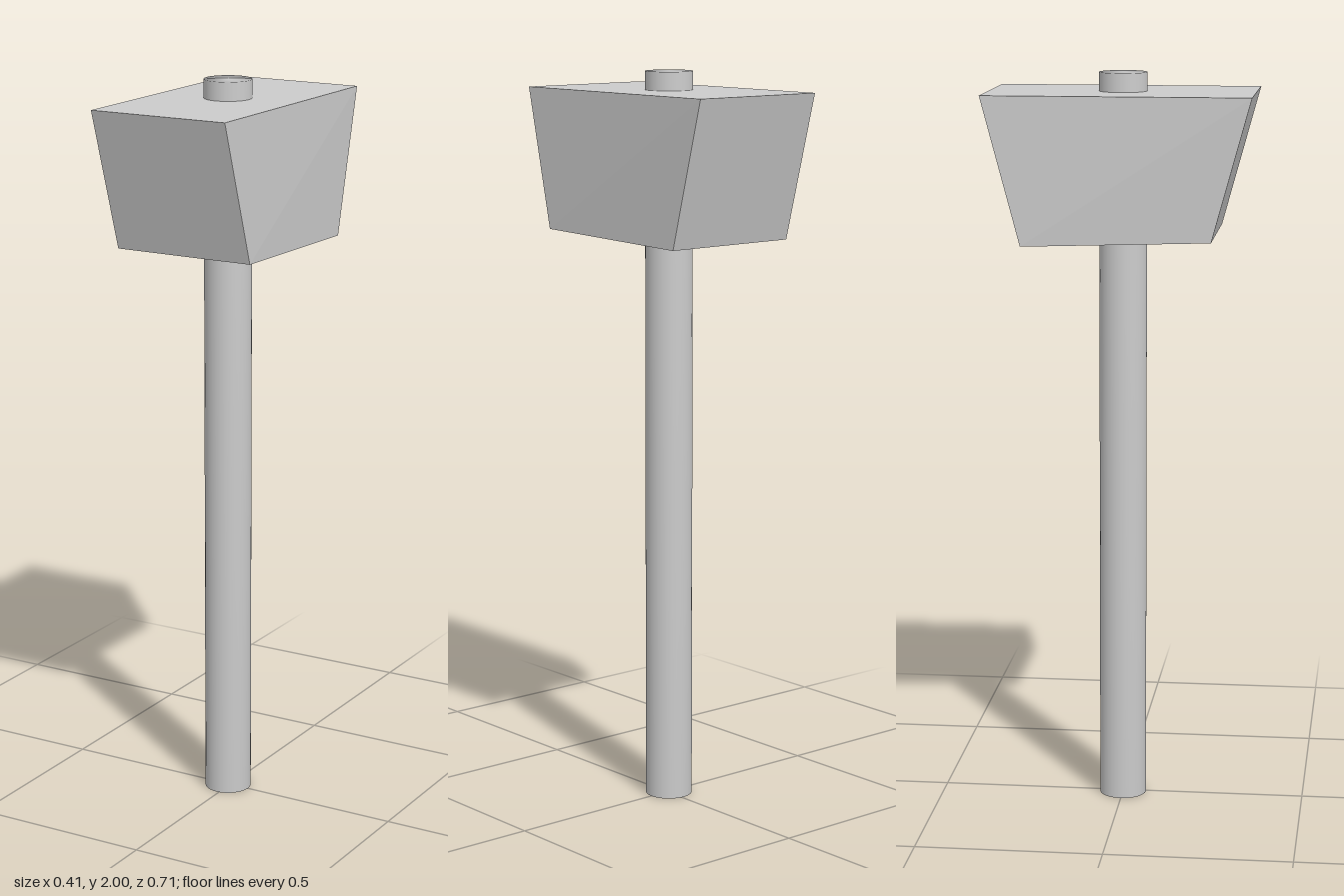
import * as THREE from 'three';
import { mergeVertices } from 'three/addons/utils/BufferGeometryUtils.js';

export function createModel() {
  const model = new THREE.Group();
  model.name = 'mallet';

  // Handle: one smooth rod, with normals shared between its side and caps
  const rod = new THREE.CylinderGeometry(0.064, 0.064, 2, 32);
  rod.deleteAttribute('normal');
  rod.deleteAttribute('uv');
  const handleGeometry = mergeVertices(rod);
  handleGeometry.computeVertexNormals();
  const handle = new THREE.Mesh(handleGeometry, new THREE.MeshStandardMaterial({ color: 0xcccccc }));
  handle.name = 'handle';
  handle.position.set(-0.007, 1, 0);
  model.add(handle);

  // Head: a box tapering downwards, its underside slightly skewed
  const headGeometry = new THREE.BoxGeometry(0.395, 0.38, 0.71);
  const p = headGeometry.attributes.position;
  for (let i = 0; i < p.count; i++) {
    const right = p.getX(i) > 0, top = p.getY(i) > 0, front = p.getZ(i) > 0;
    const side = front ? 1 : -1;
    if (top) p.setXYZ(i, right ? 0.19 : -0.205, 1.95, side * 0.354);
    else if (front) p.setXYZ(i, right ? 0.203 : -0.194, 1.573, 0.25);
    else p.setXYZ(i, right ? 0.192 : -0.204, 1.558, -0.25);
  }
  headGeometry.computeVertexNormals();
  const head = new THREE.Mesh(
    headGeometry,
    new THREE.MeshStandardMaterial({ color: 0xcccccc, flatShading: true })
  );
  head.name = 'head';
  model.add(head);

  return model;
}
